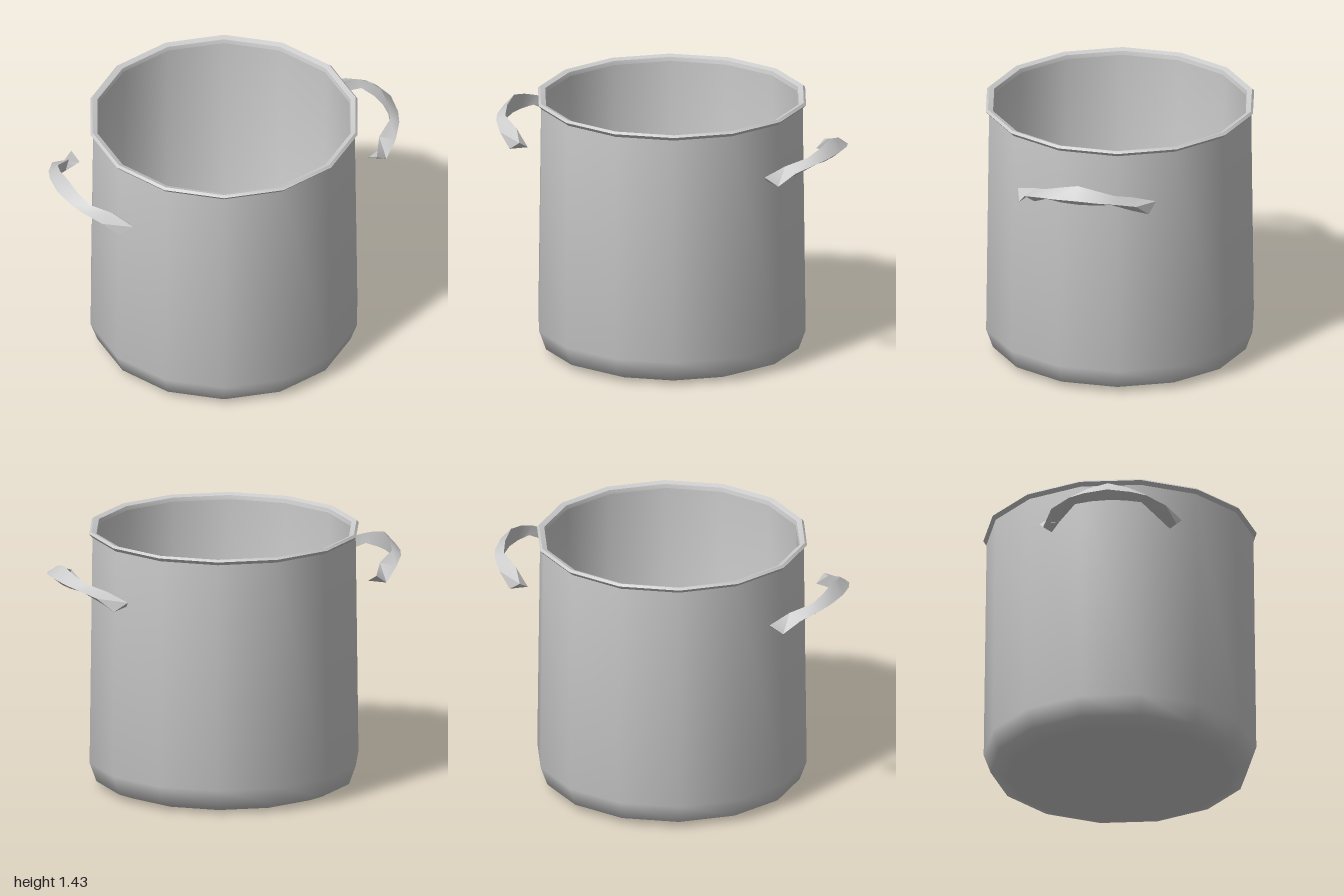
import * as THREE from 'three';
import { toCreasedNormals } from 'three/addons/utils/BufferGeometryUtils.js';

const SIDES = 14;
const metal = new THREE.MeshStandardMaterial({ color: 0xcccccc, side: THREE.DoubleSide });

// Turned part from [radius, height] pairs
function turned(name, profile, crease) {
  const points = profile.map(([r, y]) => new THREE.Vector2(r, y));
  const geometry = toCreasedNormals(new THREE.LatheGeometry(points, SIDES), crease);
  const mesh = new THREE.Mesh(geometry, metal);
  mesh.name = name;
  return mesh;
}

// Three-sided bar through the end, shoulder, bend and middle sections, mirrored in z
function handleGeometry() {
  const half = [
    [[0.73, 1.17, 0.385], [0.80, 1.12, 0.36], [0.71, 1.13, 0.32]],
    [[0.80, 1.21, 0.27], [0.88, 1.19, 0.31], [0.82, 1.14, 0.27]],
    [[0.90, 1.25, 0.20], [0.95, 1.22, 0.21], [0.91, 1.20, 0.18]],
    [[0.93, 1.28, 0.11], [0.98, 1.23, 0.13], [0.94, 1.20, 0.09]],
  ];
  const middle = [[0.94, 1.305, 0], [1.0, 1.24, 0], [0.95, 1.20, 0]];
  const far = half.map(s => s.map(([x, y, z]) => [x, y, -z])).reverse();
  const sections = [...half, middle, ...far];
  const index = [];
  for (let i = 0; i < sections.length - 1; i++) {
    for (let j = 0; j < 3; j++) {
      const a = i * 3 + j, b = i * 3 + (j + 1) % 3;
      index.push(a, b, a + 3, b, b + 3, a + 3);
    }
  }
  // End caps
  const last = (sections.length - 1) * 3;
  index.push(0, 2, 1, last, last + 1, last + 2);
  const geometry = new THREE.BufferGeometry();
  geometry.setAttribute('position', new THREE.Float32BufferAttribute(sections.flat(2), 3));
  geometry.setIndex(index);
  return toCreasedNormals(geometry, 0.8);
}

export function createModel() {
  const model = new THREE.Group();
  model.name = 'cookingPot';

  // Outer shell with a rounded lower corner
  model.add(turned('outerShell',
    [[0, 0.005], [0.61, 0.005], [0.70, 0.04], [0.738, 0.145], [0.722, 1.40]], 1.1));
  // Flared lip
  model.add(turned('rim',
    [[0.722, 1.40], [0.74, 1.42], [0.728, 1.432], [0.70, 1.422], [0.695, 1.40]], 0.7));
  // Inner wall and floor
  model.add(turned('innerShell',
    [[0.695, 1.40], [0.708, 0.15], [0.68, 0.06], [0.62, 0.03], [0, 0.03]], 1.1));

  // Side handles
  const geometry = handleGeometry();
  for (const [name, turn] of [['leftHandle', 0], ['rightHandle', Math.PI]]) {
    const handle = new THREE.Mesh(geometry, metal);
    handle.name = name;
    handle.rotation.y = turn;
    model.add(handle);
  }
  return model;
}
